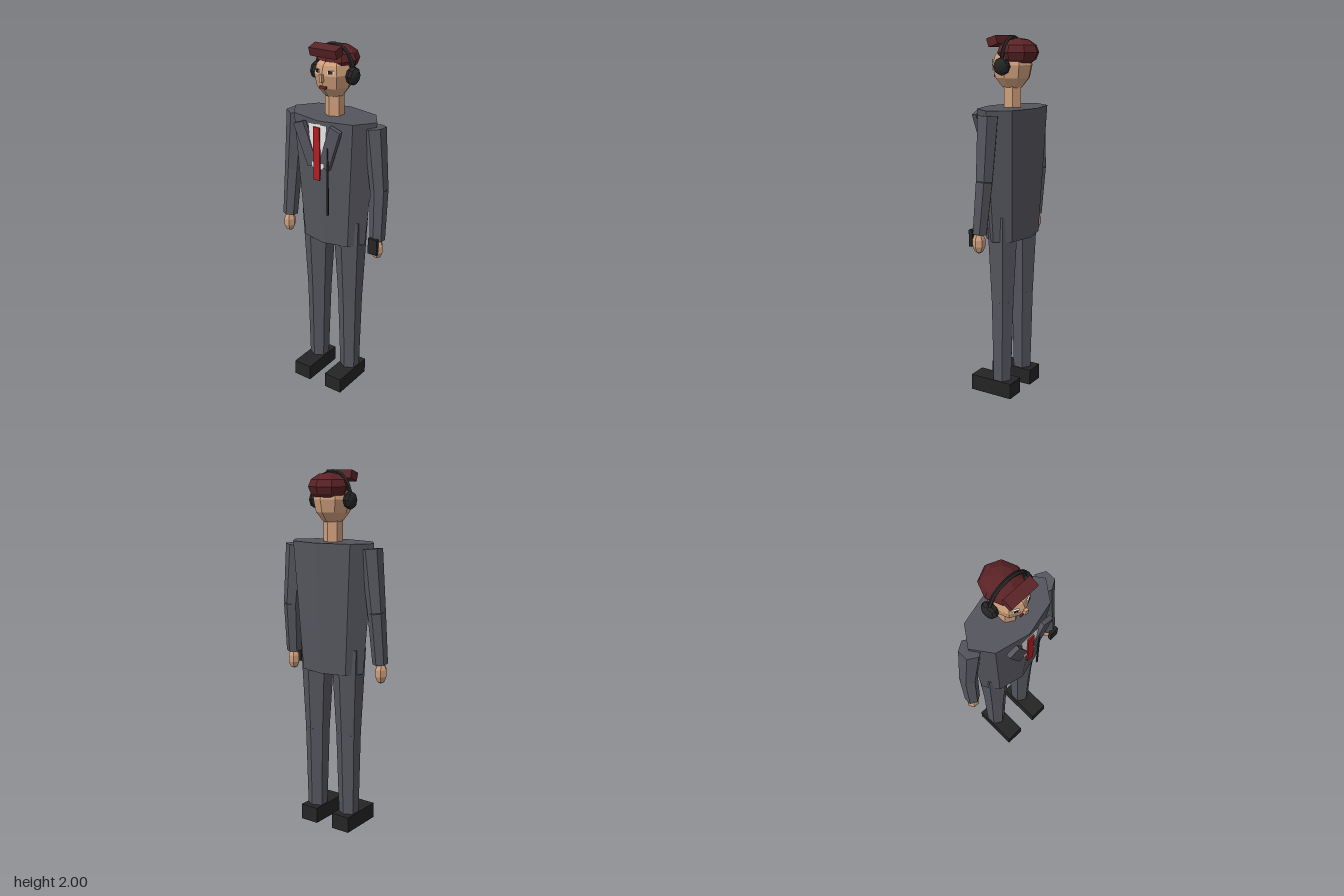
import * as THREE from 'three';

const mat = (name, color, extra = {}) => {
  const m = new THREE.MeshStandardMaterial({ color, flatShading: true, ...extra });
  m.name = name;
  return m;
};

export function createModel() {
  const model = new THREE.Group();
  model.name = 'suitedMan';

  const suit = mat('suit grey', 0x55555e);
  const skin = mat('skin', 0xcf9f7c);
  const black = mat('black', 0x242424);
  const capRed = mat('cap maroon', 0x5a2326);
  const tieRed = mat('tie red', 0xb01e22);
  const white = mat('shirt white', 0xe4e4e4, { side: THREE.DoubleSide });
  const lip = mat('lip red', 0x6e2a26);

  const add = (name, geo, material, x = 0, y = 0, z = 0) => {
    const mesh = new THREE.Mesh(geo, material);
    mesh.name = name;
    mesh.position.set(x, y, z);
    model.add(mesh);
    return mesh;
  };
  const box = (name, material, w, h, d, x, y, z) =>
    add(name, new THREE.BoxGeometry(w, h, d), material, x, y, z);
  const ball = (name, material, rx, ry, rz, x, y, z, sides = 8, rings = 6) =>
    add(name, new THREE.SphereGeometry(1, sides, rings).scale(rx, ry, rz), material, x, y, z);

  // Six-sided tapered limb from one point to another
  const limb = (name, material, top, bottom, rTop, rBottom) => {
    const a = new THREE.Vector3(...top), b = new THREE.Vector3(...bottom);
    const dir = a.clone().sub(b);
    const mid = a.clone().add(b).multiplyScalar(0.5);
    const mesh = add(name, new THREE.CylinderGeometry(rTop, rBottom, dir.length(), 6),
      material, mid.x, mid.y, mid.z);
    mesh.quaternion.setFromUnitVectors(new THREE.Vector3(0, 1, 0), dir.normalize());
    return mesh;
  };

  // Jacket: flattened octagonal taper
  add('jacket', new THREE.CylinderGeometry(0.265, 0.203, 0.71, 8).scale(1, 1, 0.577),
    suit, 0, 1.267, -0.012);

  // Shirt front and tie
  const v = new THREE.Shape([[-0.06, 1.605], [-0.035, 1.36], [0.035, 1.36], [0.06, 1.605]]
    .map(([x, y]) => new THREE.Vector2(x, y)));
  add('shirt', new THREE.ShapeGeometry(v), white, 0, 0, 0.143);
  box('tie', tieRed, 0.04, 0.29, 0.008, 0, 1.445, 0.15);

  // Cable hanging down the jacket
  box('cable', black, 0.008, 0.43, 0.008, 0.066, 1.325, 0.145);

  // Neck and head, with the crown lowered to sit under the cap
  limb('neck', skin, [0, 1.76, -0.01], [0, 1.61, -0.01], 0.052, 0.052);
  const skull = new THREE.SphereGeometry(1, 8, 6).scale(0.1, 0.135, 0.115);
  const p = skull.attributes.position;
  for (let i = 0; i < p.count; i++) if (p.getY(i) > 0) p.setY(i, p.getY(i) * 0.75);
  add('head', skull, skin, 0, 1.845, -0.01);
  box('nose', skin, 0.018, 0.04, 0.02, 0, 1.835, 0.105);
  box('mouth', lip, 0.042, 0.012, 0.009, 0, 1.785, 0.091);

  // Cap with a turned-up peak
  ball('cap', capRed, 0.109, 0.075, 0.117, 0, 1.91, -0.045);
  box('capPeak', capRed, 0.166, 0.046, 0.06, 0, 1.967, 0.067).rotation.x = 0.3;

  // Headphone band
  add('headphoneBand', new THREE.TorusGeometry(0.115, 0.011, 5, 12, Math.PI).scale(1, 1.17, 1),
    black, 0, 1.852, -0.012);

  for (const s of [-1, 1]) {
    const side = s > 0 ? 'left' : 'right';

    // Face and headphones
    box(side + 'EyeWhite', white, 0.034, 0.016, 0.008, s * 0.04, 1.865, 0.081).rotation.y = s * 0.44;
    box(side + 'Pupil', black, 0.022, 0.016, 0.008, s * 0.04, 1.865, 0.084).rotation.y = s * 0.44;
    add(side + 'EarCup', new THREE.SphereGeometry(1, 8, 6).rotateZ(Math.PI / 2)
      .scale(0.033, 0.049, 0.049), black, s * 0.112, 1.84, -0.012);

    // Lapel, leaning in towards the tie
    const lapel = box(side + 'Lapel', suit, 0.068, 0.24, 0.025, s * 0.075, 1.485, 0.136);
    lapel.rotation.set(0.06, 0, -s * 0.35);

    // Arm
    const elbow = [s * 0.286, 1.26, -0.012], wrist = [s * 0.297, 0.98, 0.012];
    limb(side + 'UpperArm', suit, [s * 0.25, 1.595, -0.013], elbow, 0.06, 0.049);
    limb(side + 'Forearm', suit, elbow, wrist, 0.049, 0.042);
    ball(side + 'Hand', skin, 0.036, 0.06, 0.036, s * 0.3, 0.93, 0.016, 6, 5);

    // Leg and shoe
    const knee = [s * 0.108, 0.56, -0.012];
    limb(side + 'Thigh', suit, [s * 0.105, 1.05, -0.012], knee, 0.096, 0.069);
    limb(side + 'Shin', suit, knee, [s * 0.111, 0.08, -0.01], 0.069, 0.056);
    box(side + 'Shoe', black, 0.11, 0.09, 0.26, s * 0.11, 0.045, 0.035);
  }

  // Handset held in the left hand
  box('handset', black, 0.055, 0.09, 0.02, 0.298, 0.955, 0.053);

  return model;
}
